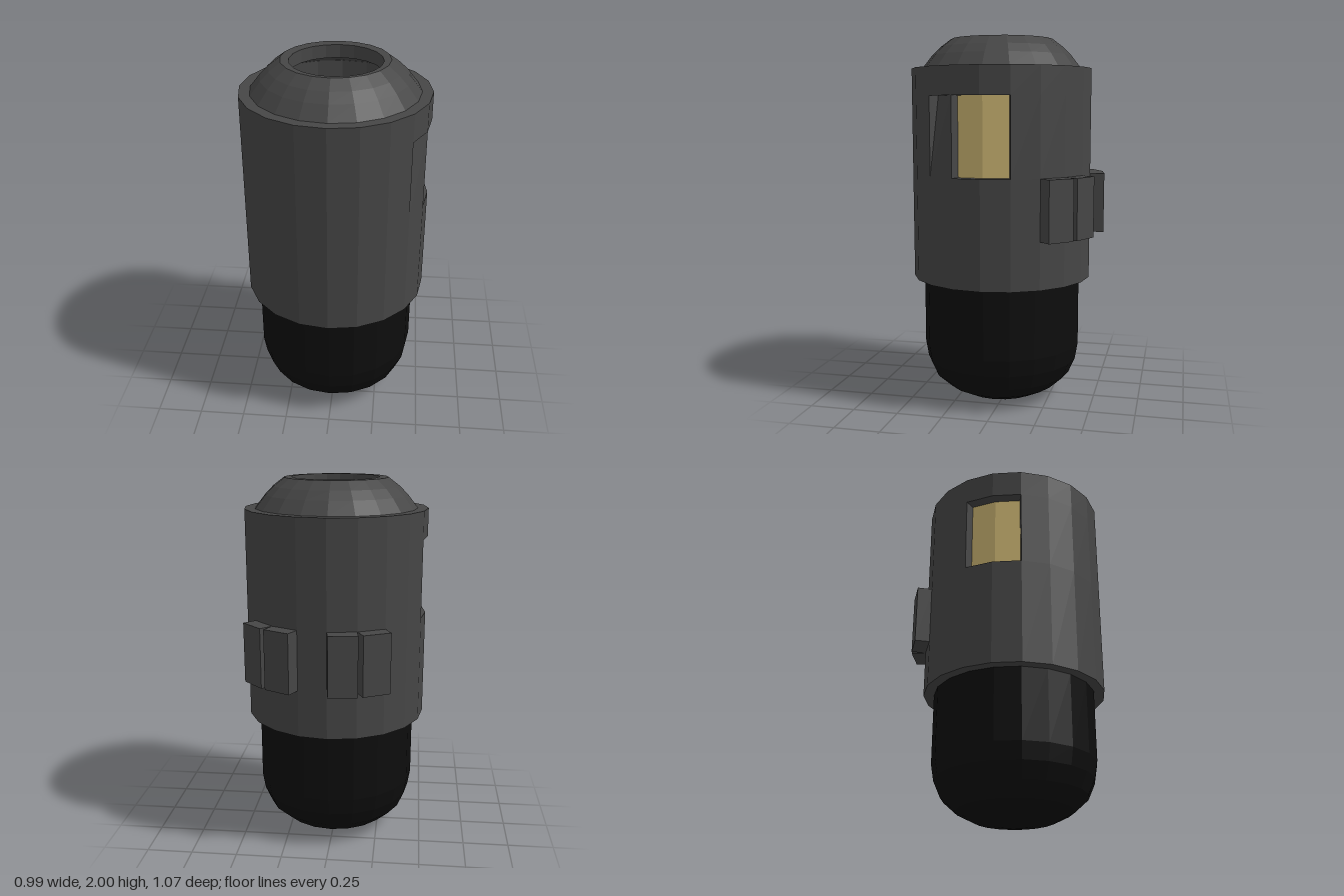
import * as THREE from 'three';

const SIDES = 20, ZC = 0.035, R_OUT = 0.497, R_IN = 0.438;
const Y0 = 0.69, Y1 = 1.27, Y2 = 1.69, Y3 = 1.84;

const mat = (name, color) => {
  const m = new THREE.MeshStandardMaterial({ color, flatShading: true, side: THREE.DoubleSide });
  m.name = name;
  return m;
};

// corner k of a ring; k = 0 lies on +x and k grows towards +z
function corner(k, { r, y, cx = 0, cz = ZC }) {
  const a = (k * 2 * Math.PI) / SIDES;
  return [cx + r * Math.cos(a), y, cz + r * Math.sin(a)];
}

// collects triangles and quads given counter-clockwise
class Faces {
  pos = [];
  tri(a, b, c) { this.pos.push(...a, ...b, ...c); }
  quad(a, b, c, d) { this.tri(a, b, c); this.tri(a, c, d); }
  // one facet between two rings
  facet(k, lo, hi) {
    this.quad(corner(k + 1, lo), corner(k, lo), corner(k, hi), corner(k + 1, hi));
  }
  // full skin through a list of rings
  skin(rows) {
    for (let i = 0; i < rows.length - 1; i++)
      for (let k = 0; k < SIDES; k++) this.facet(k, rows[i], rows[i + 1]);
    return this;
  }
  mesh(name, material) {
    const g = new THREE.BufferGeometry();
    g.setAttribute('position', new THREE.Float32BufferAttribute(this.pos, 3));
    g.computeVertexNormals();
    const m = new THREE.Mesh(g, material);
    m.name = name;
    return m;
  }
}

const rings = (pairs) => pairs.map(([r, y]) => ({ r, y }));

export function createModel() {
  const grey = mat('dark grey', 0x464646);
  const black = mat('black', 0x0d0d0d);
  const gold = mat('pale gold', 0xcdb673);
  const model = new THREE.Group();
  const out = (y) => ({ r: R_OUT, y }), inn = (y) => ({ r: R_IN, y });

  // rounded lower capsule
  model.add(new Faces().skin(rings([
    [0.001, 0], [0.125, 0.002], [0.22, 0.015], [0.31, 0.06], [0.388, 0.13],
    [0.425, 0.215], [0.44, 0.305], [0.44, Y0],
  ])).mesh('lowerCapsule', black));

  // sleeve: outer and inner walls with a two-facet window on each side
  const sleeve = new Faces(), panes = new Faces();
  const windows = [-1, 0, 9, 10], dent = 1;
  for (let k = -1; k < SIDES - 1; k++) {
    sleeve.facet(k, inn(Y0), out(Y0));
    sleeve.facet(k, out(Y0), out(Y1));
    sleeve.facet(k, out(Y2), out(Y3));
    sleeve.facet(k, out(Y3), inn(Y3));
    sleeve.facet(k, inn(Y1), inn(Y0));
    sleeve.facet(k, inn(Y3), inn(Y2));
    if (windows.includes(k)) {
      panes.facet(k, inn(Y1), inn(Y2));
      sleeve.facet(k, out(Y1), inn(Y1));
      sleeve.facet(k, inn(Y2), out(Y2));
    } else {
      sleeve.facet(k, inn(Y2), inn(Y1));
      if (k !== dent) sleeve.facet(k, out(Y1), out(Y2));
    }
  }
  // window jambs
  for (const k of [-1, 9])
    for (const [j, flip] of [[k, false], [k + 2, true]]) {
      const q = [corner(j, out(Y1)), corner(j, inn(Y1)), corner(j, inn(Y2)), corner(j, out(Y2))];
      sleeve.quad(...(flip ? q : q.reverse()));
    }
  // facet beside one window, with its upper corner pressed inwards
  const near = corner(dent, out(Y2)), far = corner(dent + 1, out(Y2));
  const farLow = corner(dent + 1, out(Y1)), pressed = corner(dent + 1, inn(Y2));
  sleeve.tri(farLow, corner(dent, out(Y1)), near);
  sleeve.tri(farLow, near, pressed);
  sleeve.tri(farLow, pressed, far);
  sleeve.tri(far, pressed, near);
  model.add(sleeve.mesh('sleeve', grey), panes.mesh('windowPanes', gold));

  // domed top with a slightly offset opening and a short inner lip
  const hole = (y) => ({ r: 0.238, y, cx: 0.005, cz: 0.055 });
  model.add(new Faces().skin([
    ...rings([[0.44, Y3], [0.385, 1.91], [0.34, 1.955], [0.28, 2]]), hole(2), hole(1.93),
  ]).mesh('domeTop', grey));

  // blocks mounted on facets around the back
  const blocks = new THREE.Group();
  blocks.name = 'backBlocks';
  for (const deg of [-45, -63, -99, -117]) {
    const a = THREE.MathUtils.degToRad(deg);
    const b = new THREE.Mesh(new THREE.BoxGeometry(0.08, 0.325, 0.154), grey);
    b.name = 'backBlock';
    b.position.set(0.529 * Math.cos(a), 1.108, ZC + 0.529 * Math.sin(a));
    b.rotation.y = -a;
    blocks.add(b);
  }
  model.add(blocks);
  return model;
}
